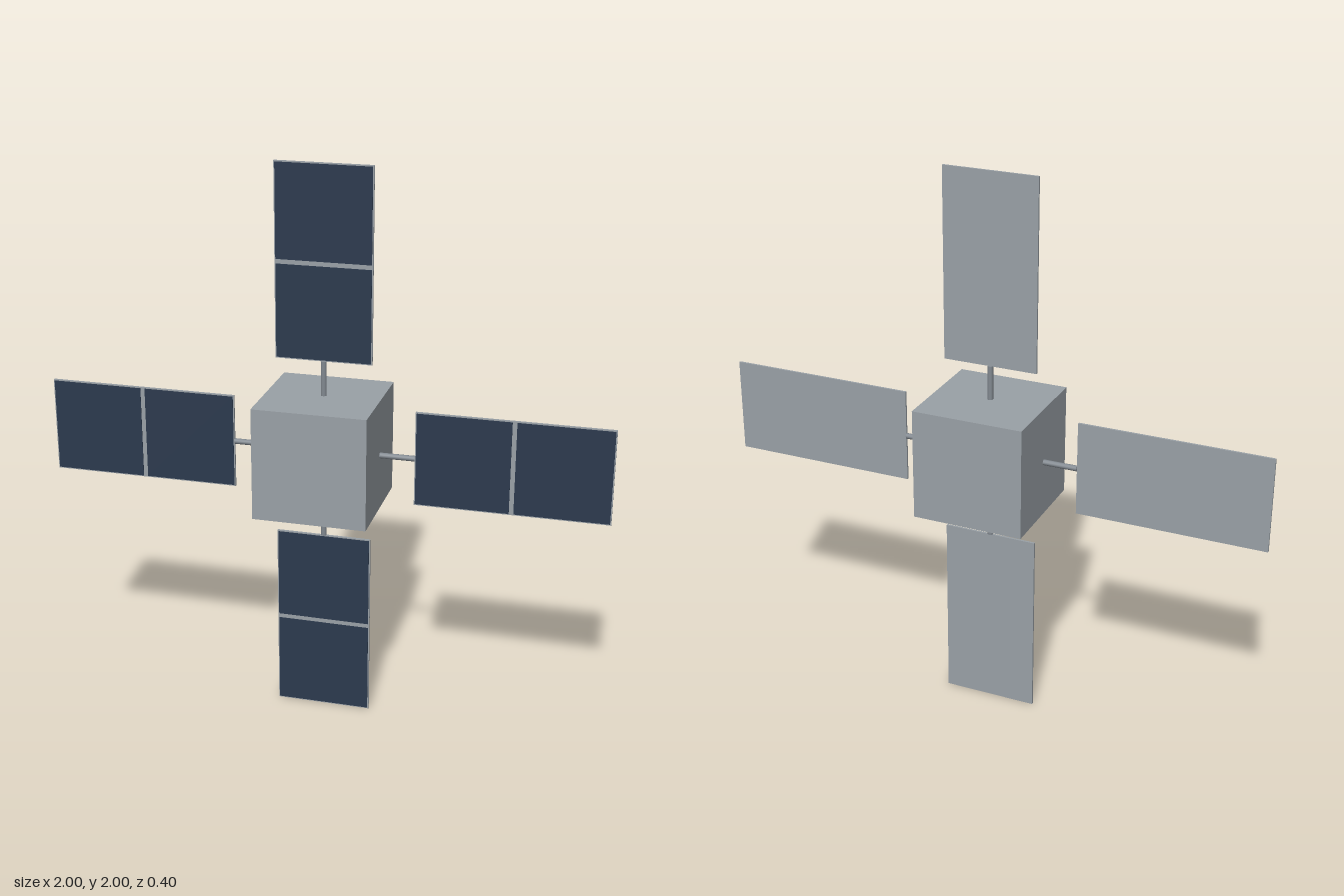
import * as THREE from 'three';

export function createModel() {
  const grey = new THREE.MeshStandardMaterial({ color: 0x9aa1a7 });
  grey.name = 'light grey metal';
  const rodGrey = new THREE.MeshStandardMaterial({ color: 0x838a91 });
  rodGrey.name = 'rod grey';
  const navy = new THREE.MeshStandardMaterial({ color: 0x2c3a4e });
  navy.name = 'navy solar cell';

  const BODY = 0.4, INNER = 0.323, OUTER = 1, WIDTH = 0.34, THICK = 0.008;
  const length = OUTER - INNER, middle = (INNER + OUTER) / 2;
  const BORDER = 0.004, GAP = 0.016, CELL = 0.002;

  const add = (parent, geometry, material, name, x = 0, y = 0, z = 0) => {
    const mesh = new THREE.Mesh(geometry, material);
    mesh.name = name;
    mesh.position.set(x, y, z);
    parent.add(mesh);
    return mesh;
  };

  const model = new THREE.Group();
  model.name = 'satellite';

  // Cubic body
  add(model, new THREE.BoxGeometry(BODY, BODY, BODY), grey, 'body', 0, 1, 0);

  // Shared wing geometry, laid out along +x
  const rodLength = INNER - BODY / 2;
  const rod = new THREE.CylinderGeometry(0.01, 0.01, rodLength, 12).rotateZ(Math.PI / 2);
  const panel = new THREE.BoxGeometry(length, WIDTH, THICK);
  const cellLength = (length - GAP) / 2 - BORDER;
  const cell = new THREE.BoxGeometry(cellLength, WIDTH - 2 * BORDER, CELL);

  // Four wings, a quarter turn apart
  ['leftWing', 'upperWing', 'rightWing', 'lowerWing'].forEach((name, i) => {
    const wing = new THREE.Group();
    wing.name = name;
    wing.position.y = 1;
    wing.rotation.z = i * Math.PI / 2;
    add(wing, rod, rodGrey, 'strut', BODY / 2 + rodLength / 2);
    add(wing, panel, grey, 'panelBacking', middle);
    // Two cell plates with the bare backing showing between them
    for (const side of [-1, 1]) {
      add(wing, cell, navy, side < 0 ? 'innerCell' : 'outerCell',
        middle + side * (GAP + cellLength) / 2, 0, THICK / 2 + CELL / 2);
    }
    model.add(wing);
  });

  return model;
}
